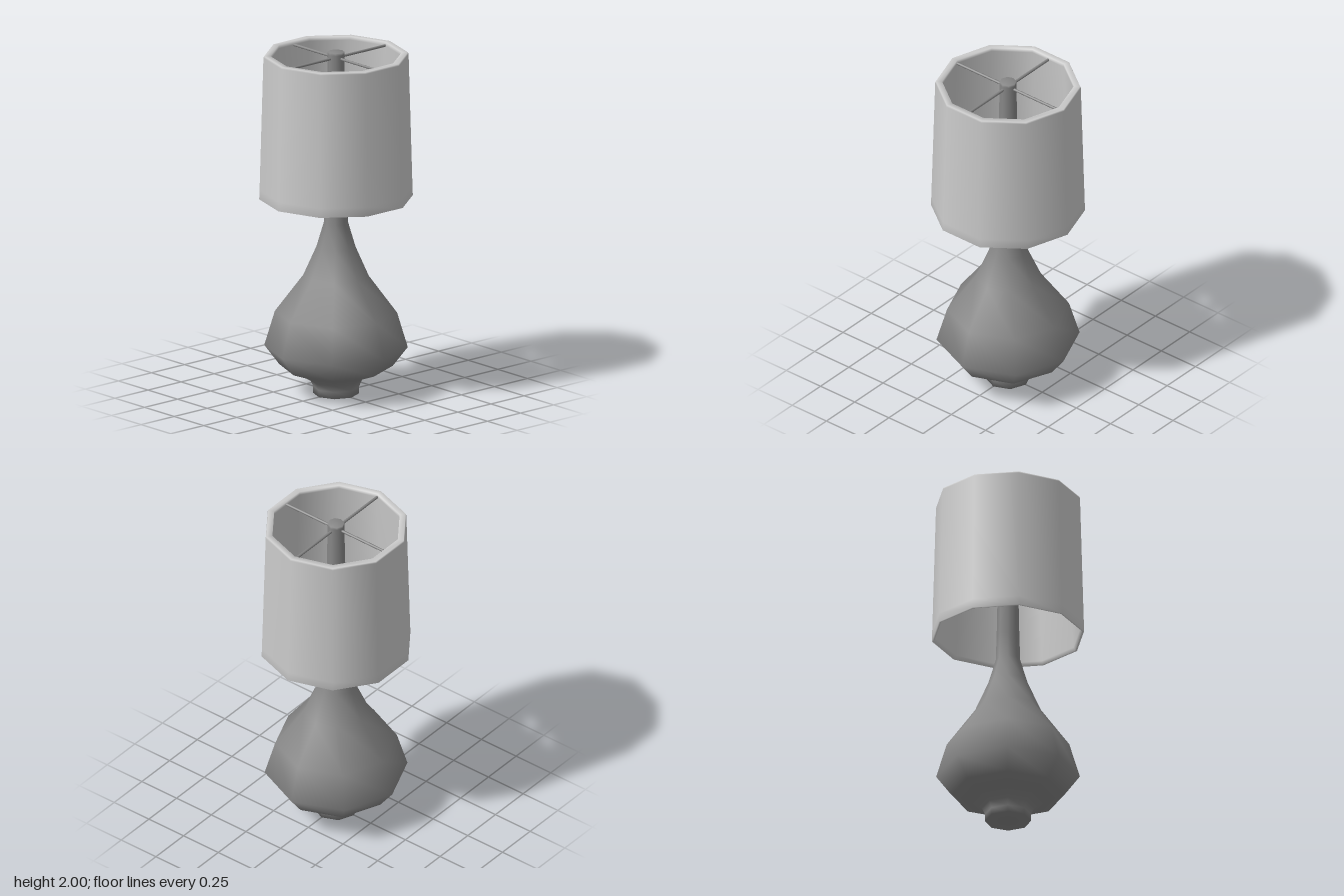
import * as THREE from 'three';

const baseMaterial = new THREE.MeshStandardMaterial({ color: 0x878787 });
const shadeMaterial = new THREE.MeshStandardMaterial({ color: 0xcccccc });

// Faceted turned part: profile is a list of [radius, height]
function turned(name, profile, sides, material) {
  const points = profile.map(([r, y]) => new THREE.Vector2(r, y));
  const mesh = new THREE.Mesh(new THREE.LatheGeometry(points, sides), material);
  mesh.name = name;
  return mesh;
}

export function createModel() {
  const lamp = new THREE.Group();
  lamp.name = 'tableLamp';

  // Eight-sided foot, belly and neck running up to the top of the shade
  lamp.add(turned('base', [
    [0, 0], [0.13, 0], [0.13, 0.04], [0.147, 0.08], [0.225, 0.127],
    [0.32, 0.164], [0.405, 0.275], [0.345, 0.476], [0.185, 0.69],
    [0.11, 0.86], [0.069, 1.0], [0.064, 1.15], [0.047, 1.985],
    [0.047, 2.0], [0, 2.0],
  ], 8, baseMaterial));

  // Ten-sided hollow shade: up the outside, over the rim, down the inside
  lamp.add(turned('shade', [
    [0.425, 1.145], [0.435, 1.147], [0.433, 1.2], [0.411, 1.975],
    [0.407, 1.985], [0.372, 1.985], [0.372, 1.965], [0.413, 1.165],
    [0.425, 1.145],
  ], 10, shadeMaterial));

  // Four spokes from the neck to the inside of the shade
  const spokes = new THREE.Group();
  spokes.name = 'shadeSpokes';
  for (let i = 0; i < 4; i++) {
    const length = i % 2 ? 0.356 : 0.372;
    const geometry = new THREE.CylinderGeometry(0.008, 0.008, length, 8);
    geometry.rotateX(Math.PI / 2).translate(0, 1.965, length / 2);
    const spoke = new THREE.Mesh(geometry, baseMaterial);
    spoke.name = 'spoke';
    spoke.rotation.y = i * Math.PI / 2;
    spokes.add(spoke);
  }
  lamp.add(spokes);

  return lamp;
}
